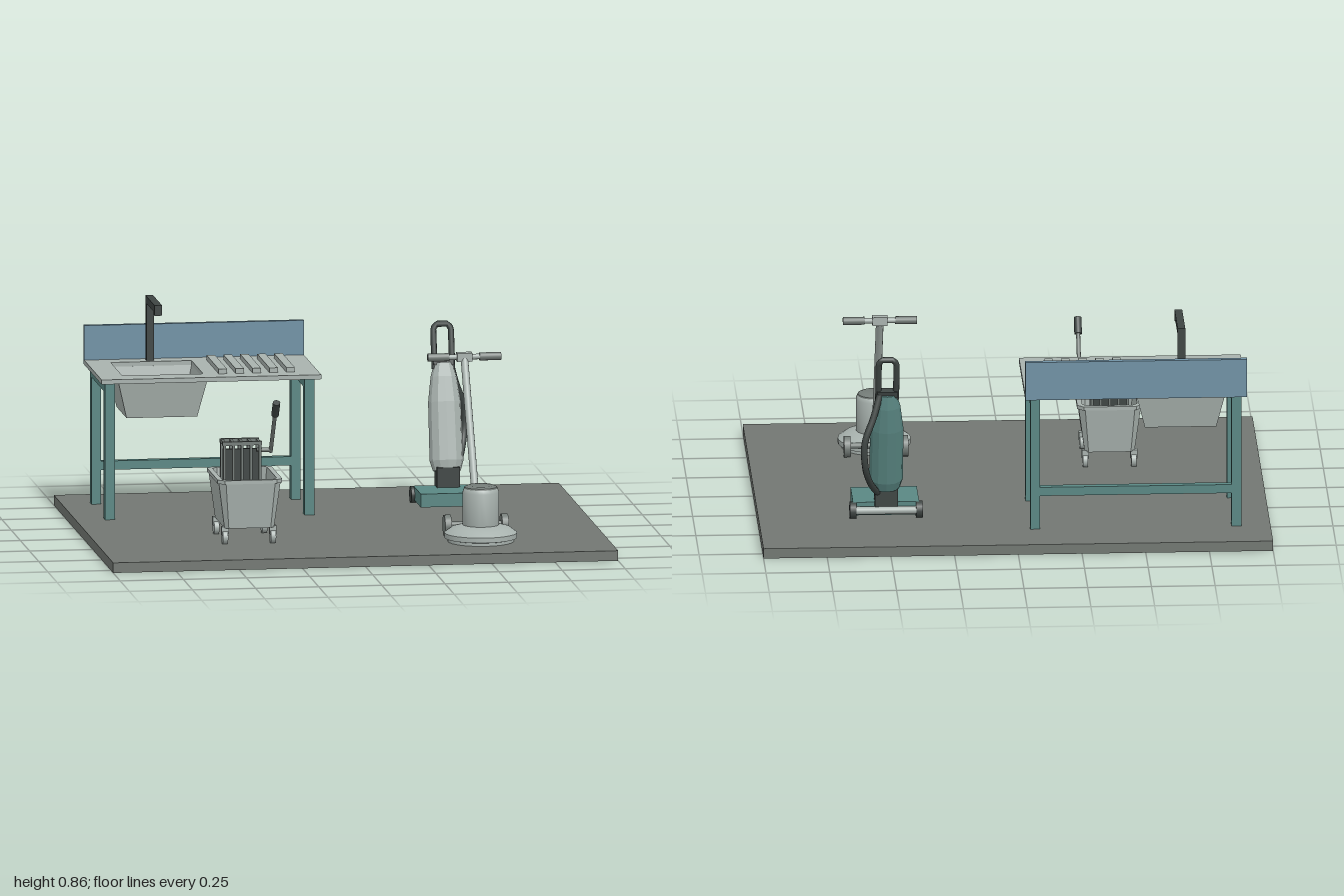
import * as THREE from 'three';
import { toCreasedNormals } from 'three/addons/utils/BufferGeometryUtils.js';

const material = (name, color) => new THREE.MeshStandardMaterial({ name, color });

export function createModel() {
  const steel = material('pale steel', 0xa8b2ae);
  const teal = material('teal', 0x5a8783);
  const dark = material('charcoal', 0x3e4543);
  const blue = material('blue', 0x7092a5);
  const stone = material('floor grey', 0x727772);
  const grey = material('mid grey', 0x747c78);

  const root = new THREE.Group();
  root.name = 'cleaningRoom';
  const group = (name, x = 0, y = 0, z = 0) => {
    const g = new THREE.Group();
    g.name = name;
    g.position.set(x, y, z);
    root.add(g);
    return g;
  };
  const add = (parent, name, geo, mat) => {
    const m = new THREE.Mesh(geo, mat);
    m.name = name;
    parent.add(m);
    return m;
  };
  // Box given by its lower and upper limits
  const box = (parent, name, mat, x0, x1, y0, y1, z0, z1) => {
    const g = new THREE.BoxGeometry(x1 - x0, y1 - y0, z1 - z0);
    g.translate((x0 + x1) / 2, (y0 + y1) / 2, (z0 + z1) / 2);
    return add(parent, name, g, mat);
  };
  // Round bar between two points
  const rod = (parent, name, mat, a, b, r, sides = 12) => {
    const A = new THREE.Vector3(...a), d = new THREE.Vector3(...b).sub(A);
    const m = add(parent, name, new THREE.CylinderGeometry(r, r, d.length(), sides), mat);
    m.position.copy(A).addScaledVector(d, 0.5);
    m.quaternion.setFromUnitVectors(new THREE.Vector3(0, 1, 0), d.normalize());
    return m;
  };
  const wheel = (parent, mat, x, y, z, r, w) =>
    rod(parent, 'wheel', mat, [x - w / 2, y, z], [x + w / 2, y, z], r, 20);
  const tube = (parent, name, mat, points, r, smooth) => {
    const v = points.map((p) => new THREE.Vector3(...p));
    let path = new THREE.CatmullRomCurve3(v);
    if (!smooth) {
      path = new THREE.CurvePath();
      for (let i = 1; i < v.length; i++) path.add(new THREE.LineCurve3(v[i - 1], v[i]));
    }
    return add(parent, name, new THREE.TubeGeometry(path, 40, r, 8), mat);
  };
  // Shell from chamfered rectangular rings: [y, half x, half z, chamfer]
  const loft = (rings) => {
    const pts = rings.map(([y, a, b, c]) => [
      [a, y, -b + c], [a, y, b - c], [a - c, y, b], [-a + c, y, b],
      [-a, y, b - c], [-a, y, -b + c], [-a + c, y, -b], [a - c, y, -b]]);
    const pos = [];
    for (let j = 0; j + 1 < pts.length; j++)
      for (let i = 0; i < 8; i++) {
        const k = (i + 1) % 8;
        const a = pts[j][i], b = pts[j][k], c = pts[j + 1][i], d = pts[j + 1][k];
        pos.push(...a, ...c, ...b, ...b, ...c, ...d);
      }
    const g = new THREE.BufferGeometry();
    g.setAttribute('position', new THREE.Float32BufferAttribute(pos, 3));
    g.computeVertexNormals();
    return g;
  };
  const profile = (list) => list.map(([x, y]) => new THREE.Vector2(x, y));

  box(root, 'floor', stone, -1, 1, 0, 0.04, -0.81, 0.81);

  // Sink table: pierced worktop, basin, drainer, splashback
  const sink = group('sinkTable');
  const rect = (shape, x0, x1, z0, z1) => {
    shape.moveTo(x0, -z0); shape.lineTo(x0, -z1); shape.lineTo(x1, -z1);
    shape.lineTo(x1, -z0); shape.closePath();
    return shape;
  };
  const top = rect(new THREE.Shape(), -0.905, -0.035, -0.635, -0.16);
  top.holes.push(rect(new THREE.Path(), -0.81, -0.49, -0.565, -0.25));
  const topGeo = new THREE.ExtrudeGeometry(top, { depth: 0.018, bevelEnabled: false });
  topGeo.rotateX(-Math.PI / 2).translate(0, 0.585, 0);
  add(sink, 'worktop', topGeo, steel);
  add(sink, 'basin', loft([
    [0.43, 0, 0, 0], [0.43, 0.14, 0.135, 0], [0.585, 0.178, 0.165, 0],
    [0.586, 0.16, 0.157, 0], [0.44, 0.125, 0.123, 0], [0.44, 0, 0, 0]]), steel)
    .position.set(-0.65, 0, -0.407);
  box(sink, 'splashback', blue, -0.905, -0.035, 0.585, 0.74, -0.657, -0.635);
  for (let i = 0; i < 5; i++) {
    const x = -0.43 + i * 0.067;
    box(sink, 'drainerRidge', steel, x, x + 0.033, 0.602, 0.622, -0.573, -0.237);
  }
  for (const x of [-0.885, -0.095]) {
    for (const z of [-0.61, -0.24])
      box(sink, 'leg', teal, x, x + 0.038, 0.04, 0.585, z, z + 0.04);
    box(sink, 'sideRail', teal, x, x + 0.038, 0.545, 0.585, -0.57, -0.24);
  }
  box(sink, 'backRail', teal, -0.847, -0.095, 0.175, 0.21, -0.605, -0.575);

  // Tap
  box(sink, 'tapPost', dark, -0.665, -0.635, 0.6, 0.858, -0.617, -0.588);
  box(sink, 'tapArm', dark, -0.665, -0.635, 0.83, 0.858, -0.588, -0.37);
  box(sink, 'tapSpout', dark, -0.665, -0.635, 0.817, 0.83, -0.397, -0.37);

  // Mop bucket on castors
  const bucket = group('mopBucket', -0.408, 0, 0.315);
  add(bucket, 'tub', loft([
    [0.105, 0, 0, 0], [0.105, 0.098, 0.143, 0.015], [0.285, 0.122, 0.167, 0.025],
    [0.285, 0.128, 0.171, 0.025], [0.3, 0.128, 0.171, 0.025], [0.3, 0.108, 0.153, 0.02],
    [0.118, 0.088, 0.133, 0.012], [0.118, 0, 0, 0]]), steel);
  for (const x of [-0.095, 0.095])
    for (const z of [-0.125, 0.115]) {
      wheel(bucket, steel, x, 0.067, z, 0.027, 0.02);
      box(bucket, 'castorFork', steel, x - 0.014, x + 0.014, 0.075, 0.11, z - 0.012, z + 0.012);
    }

  // Wringer cage and its lever
  const wringer = group('wringer', -0.408, 0, 0.315);
  for (let i = 0; i < 5; i++) {
    const x = -0.07 + i * 0.035;
    for (const z of [-0.145, -0.065])
      box(wringer, 'cageBar', grey, x - 0.005, x + 0.005, 0.2, 0.405, z - 0.006, z + 0.006);
    box(wringer, 'cageTie', grey, x - 0.005, x + 0.005, 0.4, 0.413, -0.145, -0.065);
  }
  for (const z of [-0.145, -0.065])
    box(wringer, 'cageRail', grey, -0.078, 0.078, 0.4, 0.415, z - 0.007, z + 0.007);
  box(wringer, 'pressPlate', dark, -0.072, 0.072, 0.2, 0.38, -0.112, -0.1);
  rod(wringer, 'leverPivot', grey, [0.06, 0.378, -0.075], [0.115, 0.378, -0.075], 0.009);
  rod(wringer, 'lever', grey, [0.115, 0.37, -0.08], [0.115, 0.545, 0.045], 0.008);
  rod(wringer, 'leverGrip', dark, [0.115, 0.535, 0.04], [0.115, 0.59, 0.08], 0.015);

  // Floor polisher
  const polisher = group('floorPolisher', 0.5, 0, 0);
  const deck = new THREE.LatheGeometry(profile([
    [0, 0.04], [0.13, 0.04], [0.13, 0.052], [0.143, 0.055], [0.143, 0.075],
    [0.115, 0.095], [0.075, 0.106], [0, 0.106]]), 32);
  add(polisher, 'deck', toCreasedNormals(deck, 0.6), steel).position.z = 0.505;
  const motor = new THREE.LatheGeometry(profile([
    [0.07, 0.1], [0.072, 0.11], [0.072, 0.235], [0.068, 0.247], [0.066, 0.25]]), 28);
  add(polisher, 'motor', toCreasedNormals(motor, 0.6), steel).position.z = 0.505;
  const cap = new THREE.LatheGeometry(profile([
    [0.066, 0.25], [0.064, 0.256], [0.05, 0.262], [0, 0.262]]), 28);
  add(polisher, 'motorCap', toCreasedNormals(cap, 0.6), grey).position.z = 0.505;
  rod(polisher, 'axle', grey, [-0.115, 0.085, 0.367], [0.115, 0.085, 0.367], 0.012);
  for (const s of [-1, 1]) {
    wheel(polisher, grey, s * 0.113, 0.082, 0.367, 0.042, 0.026);
    rod(polisher, 'handGrip', grey, [s * 0.06, 0.697, 0.055], [s * 0.145, 0.697, 0.055], 0.016);
  }
  box(polisher, 'handleBracket', steel, -0.035, 0.035, 0.085, 0.15, 0.38, 0.415);
  rod(polisher, 'handle', steel, [0, 0.12, 0.403], [0, 0.69, 0.06], 0.015);
  rod(polisher, 'crossbar', steel, [-0.1, 0.697, 0.055], [0.1, 0.697, 0.055], 0.011);
  box(polisher, 'handleHead', steel, -0.03, 0.03, 0.68, 0.714, 0.038, 0.074);

  // Upright vacuum cleaner
  const vacuum = group('vacuumCleaner', 0.5, 0, 0);
  box(vacuum, 'floorHead', teal, -0.13, 0.13, 0.053, 0.106, -0.435, -0.235);
  rod(vacuum, 'axle', steel, [-0.12, 0.075, -0.445], [0.12, 0.075, -0.445], 0.016);
  for (const s of [-1, 1]) wheel(vacuum, dark, s * 0.13, 0.073, -0.43, 0.033, 0.026);
  box(vacuum, 'neck', dark, -0.045, 0.045, 0.085, 0.185, -0.447, -0.375);

  const body = new THREE.Group();
  body.name = 'vacuumBody';
  body.position.set(0, 0.165, -0.42);
  body.rotation.x = -0.235;
  vacuum.add(body);
  const hull = [[0, 0], [0.055, 0], [0.067, 0.04], [0.065, 0.27], [0.052, 0.37], [0.036, 0.425], [0, 0.425]];
  for (const [name, mat, start] of [['frontShell', steel, -0.5], ['backShell', teal, 0.5]]) {
    const g = new THREE.LatheGeometry(profile(hull), 6, start * Math.PI, Math.PI).toNonIndexed();
    g.scale(1, 1, 0.8);
    g.computeVertexNormals();
    add(body, name, g, mat);
  }
  tube(body, 'topHandle', dark, [[-0.035, 0.4, 0], [-0.035, 0.56, 0], [-0.022, 0.578, 0],
    [0.022, 0.578, 0], [0.035, 0.56, 0], [0.035, 0.4, 0]], 0.012, false);
  box(body, 'handleCollar', dark, -0.04, 0.04, 0.415, 0.44, -0.018, 0.018);
  tube(vacuum, 'hose', dark, [[0.03, 0.14, -0.43], [0.065, 0.205, -0.505], [0.088, 0.29, -0.56],
    [0.09, 0.39, -0.568], [0.055, 0.49, -0.55], [0.03, 0.575, -0.53]], 0.013, true);

  return root;
}
